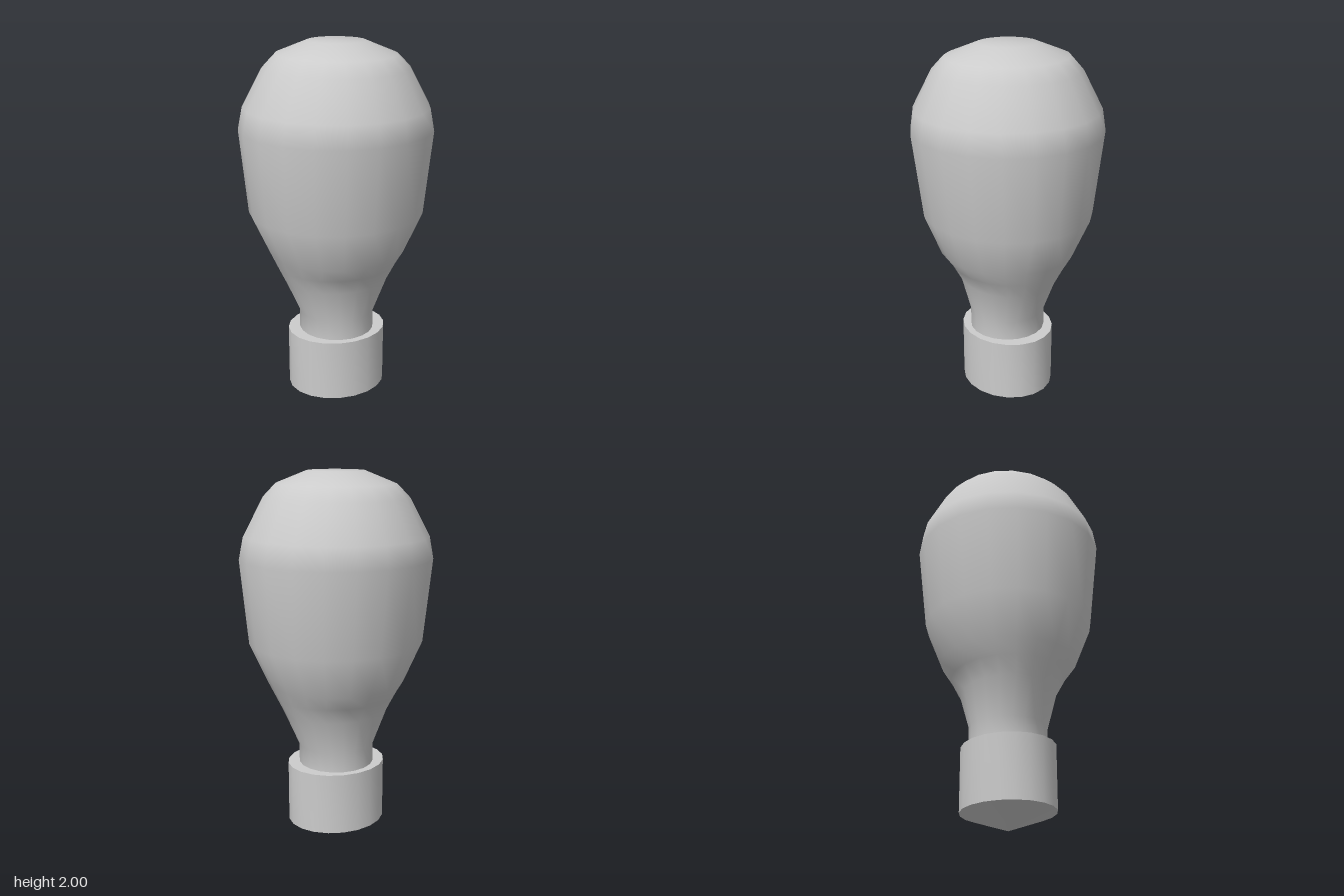
import * as THREE from 'three';

const SIDES = 20;

// Loft of elliptical rings [y, radiusX, radiusZ], listed from bottom to top; shared vertices keep it smooth
function loft(rings) {
  const pos = [], idx = [];
  for (const [y, rx, rz] of rings) {
    for (let i = 0; i < SIDES; i++) {
      const a = (i / SIDES) * Math.PI * 2;
      pos.push(rx * Math.cos(a), y, rz * Math.sin(a));
    }
  }
  for (let r = 0; r < rings.length - 1; r++) {
    for (let i = 0; i < SIDES; i++) {
      const j = (i + 1) % SIDES;
      const a = r * SIDES + i, b = r * SIDES + j;
      const c = a + SIDES, d = b + SIDES;
      if (rings[r][1] > 0) idx.push(a, d, b);
      if (rings[r + 1][1] > 0) idx.push(a, c, d);
    }
  }
  const g = new THREE.BufferGeometry();
  g.setAttribute('position', new THREE.Float32BufferAttribute(pos, 3));
  g.setIndex(idx);
  g.computeVertexNormals();
  return g;
}

export function createModel() {
  const group = new THREE.Group();
  const material = new THREE.MeshStandardMaterial({ color: 0xcccccc });
  const add = (name, geometry, parent = group) => {
    const mesh = new THREE.Mesh(geometry, material);
    mesh.name = name;
    parent.add(mesh);
    return mesh;
  };

  // Bulb: round dome, tapering body and a neck pinched front to back
  add('bulb', loft([
    [0.40, 0.205, 0.205],
    [0.53, 0.205, 0.205],
    [0.72, 0.29, 0.25],
    [0.81, 0.333, 0.30],
    [0.89, 0.37, 0.36],
    [1.11, 0.47, 0.447],
    [1.555, 0.51, 0.502],
    [1.67, 0.485, 0.487],
    [1.865, 0.38, 0.387],
    [1.935, 0.31, 0.325],
    [2.0, 0.15, 0.157],
    [2.0, 0, 0],
  ]));

  // Collar: slightly oval socket with a shallow cone below; separate pieces keep its edges sharp
  const collar = new THREE.Group();
  collar.name = 'collar';
  group.add(collar);
  add('collarWall', loft([[0.09, 0.272, 0.242], [0.425, 0.272, 0.242]]), collar);
  add('collarTop', loft([[0.425, 0.272, 0.242], [0.425, 0.19, 0.19]]), collar);
  add('collarTip', loft([[0, 0, 0], [0.09, 0.272, 0.242]]), collar);

  return group;
}
